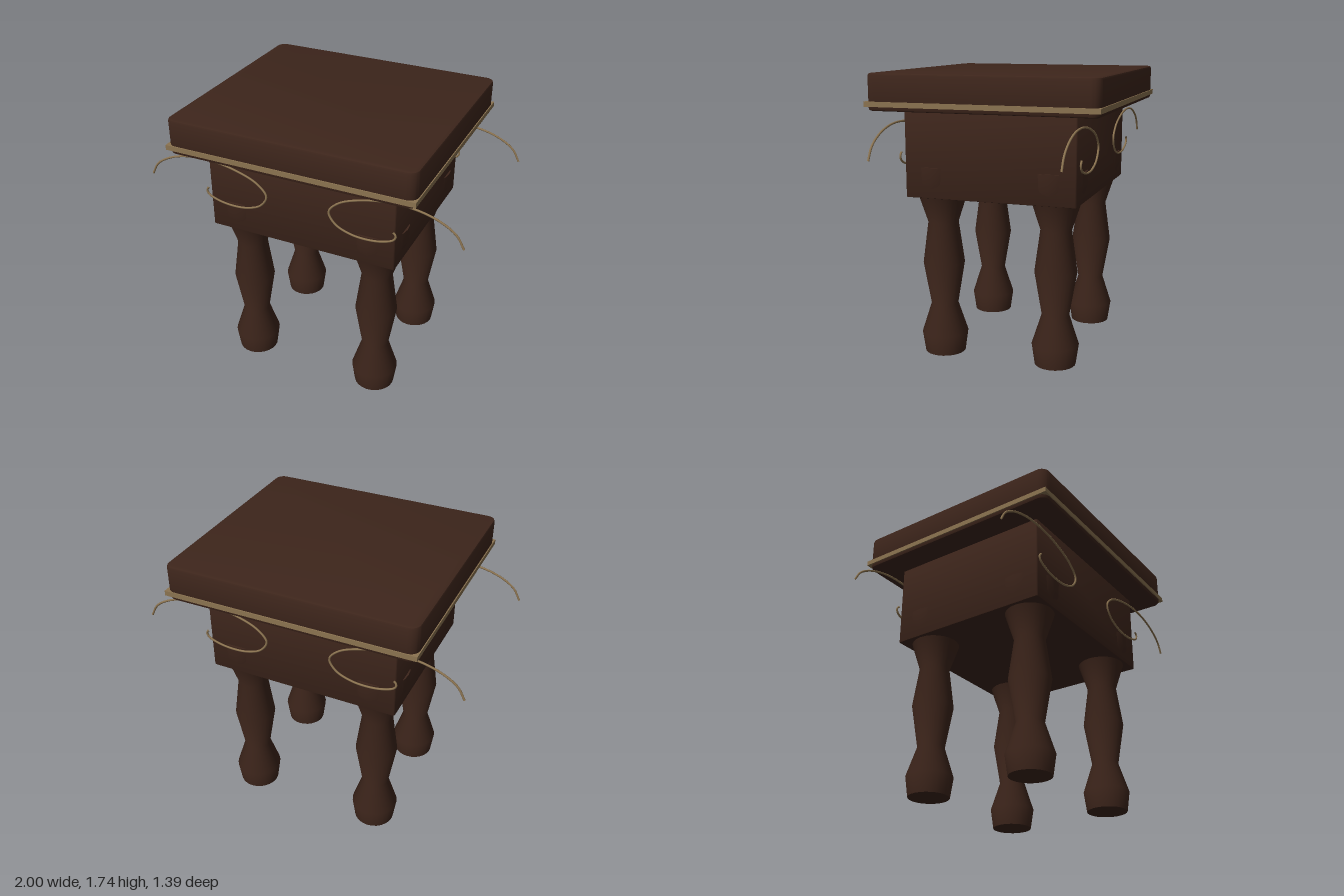
import * as THREE from 'three';
import { toCreasedNormals } from 'three/addons/utils/BufferGeometryUtils.js';

const wood = new THREE.MeshStandardMaterial({ color: 0x3d251b });
const brass = new THREE.MeshStandardMaterial({ color: 0x8b7350 });

function addMesh(parent, name, geometry, material) {
  const mesh = new THREE.Mesh(geometry, material);
  mesh.name = name;
  parent.add(mesh);
  return mesh;
}

// Upright block with rounded vertical corners and bevelled top and bottom rims
function block(halfX, halfZ, y0, y1, radius, bevel) {
  const x = halfX - bevel, z = halfZ - bevel, r = radius;
  const s = new THREE.Shape();
  s.moveTo(-x + r, -z);
  s.absarc(x - r, -z + r, r, -Math.PI / 2, 0);
  s.absarc(x - r, z - r, r, 0, Math.PI / 2);
  s.absarc(-x + r, z - r, r, Math.PI / 2, Math.PI);
  s.absarc(-x + r, -z + r, r, Math.PI, Math.PI * 1.5);
  const g = new THREE.ExtrudeGeometry(s, {
    depth: y1 - y0 - 2 * bevel, bevelEnabled: true, bevelThickness: bevel,
    bevelSize: bevel, bevelSegments: 2, curveSegments: 5,
  });
  g.rotateX(-Math.PI / 2).translate(0, y0 + bevel, 0);
  return toCreasedNormals(g, 0.6);
}

export function createModel() {
  const stool = new THREE.Group();
  stool.name = 'stool';

  // Seat slab, its trim band and the apron box
  addMesh(stool, 'seat', block(0.757, 0.688, 1.523, 1.737, 0.04, 0.015), wood);
  const band = addMesh(stool, 'trimBand', new THREE.BoxGeometry(1.526, 0.03, 1.39), brass);
  band.position.y = 1.562;
  addMesh(stool, 'apron', block(0.595, 0.525, 1.0, 1.53, 0.006, 0.006), wood);

  // Turned legs; the flared tops push slightly through the apron
  const profile = [
    [0, 0], [0.125, 0], [0.143, 0.125], [0.083, 0.31], [0.128, 0.575],
    [0.093, 0.83], [0.148, 1.0], [0.178, 1.09], [0.18, 1.185], [0, 1.185],
  ].map(([r, y]) => new THREE.Vector2(r, y));
  const legGeometry = toCreasedNormals(new THREE.LatheGeometry(profile, 24), 1.0);

  // Wire scroll: sweeping arm, loop and small hook
  const scroll = new THREE.CatmullRomCurve3([
    [0.993, 1.272], [0.95, 1.345], [0.87, 1.4], [0.74, 1.442], [0.57, 1.452],
    [0.4, 1.425], [0.26, 1.37], [0.2, 1.3], [0.24, 1.23], [0.33, 1.19],
    [0.43, 1.18], [0.53, 1.193], [0.596, 1.222], [0.607, 1.25], [0.59, 1.27],
  ].map(([x, y]) => new THREE.Vector3(x, y, 0)));
  const scrollGeometry = new THREE.TubeGeometry(scroll, 90, 0.0065, 8);

  for (const sx of [-1, 1]) {
    for (const sz of [-1, 1]) {
      const label = (sz > 0 ? 'front' : 'back') + (sx > 0 ? 'Left' : 'Right');
      const leg = addMesh(stool, label + 'Leg', legGeometry, wood);
      leg.position.set(sx * 0.428, 0, sz * 0.36);
      const wire = addMesh(stool, label + 'Scroll', scrollGeometry, brass);
      wire.position.z = sz * 0.55;
      // Half turn mirrors the flat scroll to the other side
      if (sx < 0) wire.rotation.y = Math.PI;
    }
  }
  return stool;
}
